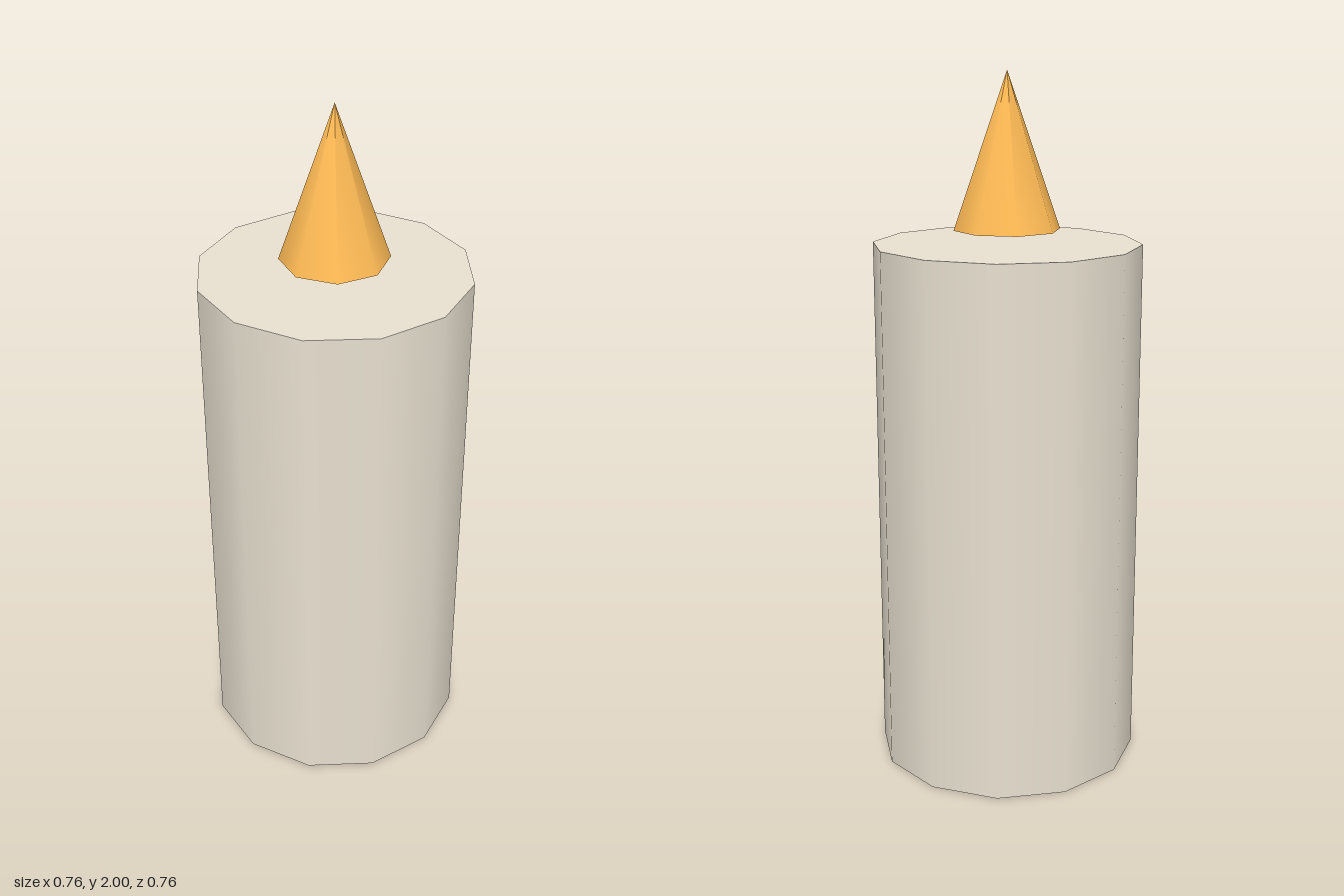
import * as THREE from 'three';

export function createModel() {
  const group = new THREE.Group();
  group.name = 'candle';

  const add = (name, geometry, color, y) => {
    const mesh = new THREE.Mesh(geometry, new THREE.MeshStandardMaterial({ color }));
    mesh.name = name;
    mesh.position.y = y;
    group.add(mesh);
  };

  const waxHeight = 1.526, flameHeight = 0.436;

  // Twelve-sided wax body standing on the ground
  add('wax', new THREE.CylinderGeometry(0.381, 0.381, waxHeight, 12), 0xe8e0d0, waxHeight / 2);

  // Eight-sided flame floating just above the wax
  add('flame', new THREE.ConeGeometry(0.152, flameHeight, 8), 0xffbb55, 2 - flameHeight / 2);

  return group;
}
